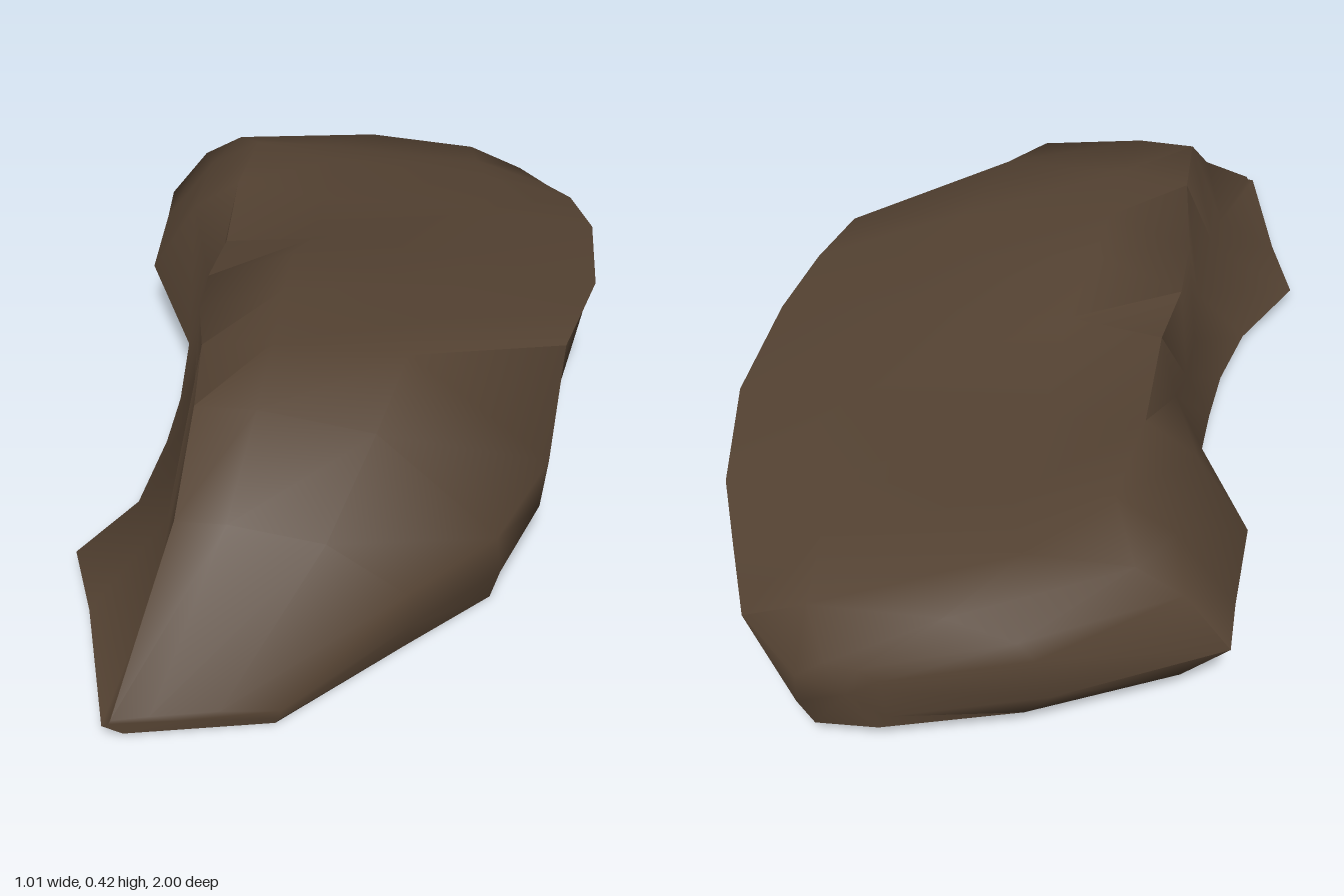
import * as THREE from 'three';
import { toCreasedNormals } from 'three/addons/utils/BufferGeometryUtils.js';

const { lerp, smoothstep } = THREE.MathUtils;

// Cross-sections from back to front:
// z, base x, right rim x y, shoulder x y, crown y, left ridge x y, left foot x y
const SECTIONS = [
  [-1.0, 0.17, 0.2, 0.16, 0.15, 0.2, 0.2, 0.05, 0.18, 0.04, 0.1], // blunt back end
  [-0.92, 0.18, 0.32, 0.2, 0.2, 0.25, 0.27, -0.17, 0.24, -0.23, 0.13],
  [-0.77, 0.2, 0.39, 0.23, 0.22, 0.285, 0.305, -0.34, 0.315, -0.51, 0.16], // rear hump
  [-0.65, 0.21, 0.445, 0.26, 0.25, 0.305, 0.325, -0.28, 0.36, -0.5, 0.155],
  [-0.43, 0.24, 0.495, 0.3, 0.26, 0.33, 0.335, -0.29, 0.362, -0.49, 0.14], // sunken plateau
  [-0.16, 0.28, 0.505, 0.307, 0.25, 0.355, 0.375, -0.27, 0.357, -0.36, 0.1], // saddle
  [0, 0.32, 0.48, 0.33, 0.22, 0.37, 0.423, -0.28, 0.36, -0.35, 0.06], // crest
  [0.15, 0.34, 0.45, 0.335, 0.21, 0.38, 0.422, -0.27, 0.37, -0.35, 0.05],
  [0.34, 0.36, 0.43, 0.19, 0.16, 0.405, 0.415, -0.23, 0.4, -0.37, 0.03],
  [0.53, 0.335, 0.345, 0.14, 0.12, 0.35, 0.385, -0.21, 0.385, -0.45, 0.04], // left foot
  [0.7, 0.19, 0.195, 0.12, 0.05, 0.22, 0.25, -0.22, 0.25, -0.385, 0.04],
  [1.0, -0.01, 0, 0.03, -0.1, 0.042, 0.045, -0.28, 0.045, -0.295, 0.035], // thin front edge
];

// Turns one section into a ring of nine corners; the others are interpolated.
function ring([z, baseX, rimX, rimY, topX, topY, crownY, ridgeX, ridgeY, footX, footY]) {
  const baseY = 0.05 * smoothstep(-z, 0.6, 0.9);
  // the left wall bulges at the rear and is hollow towards the front
  const hollow = smoothstep(z, -0.45, 0.1);
  const corners = [
    [lerp(footX, baseX, 0.12), lerp(baseY, footY, 0.4)],
    [baseX, baseY + 0.005],
    [lerp(baseX, rimX, 0.6) + 0.08 * rimY, lerp(baseY, rimY, 0.45)],
    [rimX, rimY],
    [topX, topY],
    [lerp(topX, ridgeX, 0.65), crownY],
    [ridgeX, ridgeY],
    [lerp(footX, ridgeX, lerp(0.5, 0.75, hollow)), lerp(footY, ridgeY, lerp(0.7, 0.27, hollow))],
    [footX, footY],
  ];
  // the front edge slants back towards the right
  const slant = 0.27 * Math.max(0, z) ** 8;
  return corners.map(([x, y]) => new THREE.Vector3(x, y, z - slant * (x + 0.29)));
}

// Joins the rings into a closed skin, with a fan at each end.
function loft(rings) {
  const n = rings[0].length;
  const last = rings.length - 1;
  const points = rings.flat();
  const index = [];
  for (let s = 0; s < last; s++) {
    for (let i = 0; i < n; i++) {
      const a = s * n + i;
      const b = s * n + ((i + 1) % n);
      index.push(a, b, b + n, a, b + n, a + n);
    }
  }
  for (const s of [0, last]) {
    const centre = points.length;
    points.push(rings[s].reduce((sum, p) => sum.add(p), new THREE.Vector3()).divideScalar(n));
    for (let i = 0; i < n; i++) {
      const a = s * n + i;
      const b = s * n + ((i + 1) % n);
      index.push(centre, ...(s === 0 ? [b, a] : [a, b]));
    }
  }
  const geometry = new THREE.BufferGeometry().setFromPoints(points);
  geometry.setIndex(index);
  return toCreasedNormals(geometry, 1.25);
}

export function createModel() {
  const stone = new THREE.MeshStandardMaterial({ color: 0x544232 });
  stone.name = 'brown stone';

  const boulder = new THREE.Mesh(loft(SECTIONS.map(ring)), stone);
  boulder.name = 'boulder';

  const group = new THREE.Group();
  group.name = 'rock';
  group.add(boulder);
  return group;
}
